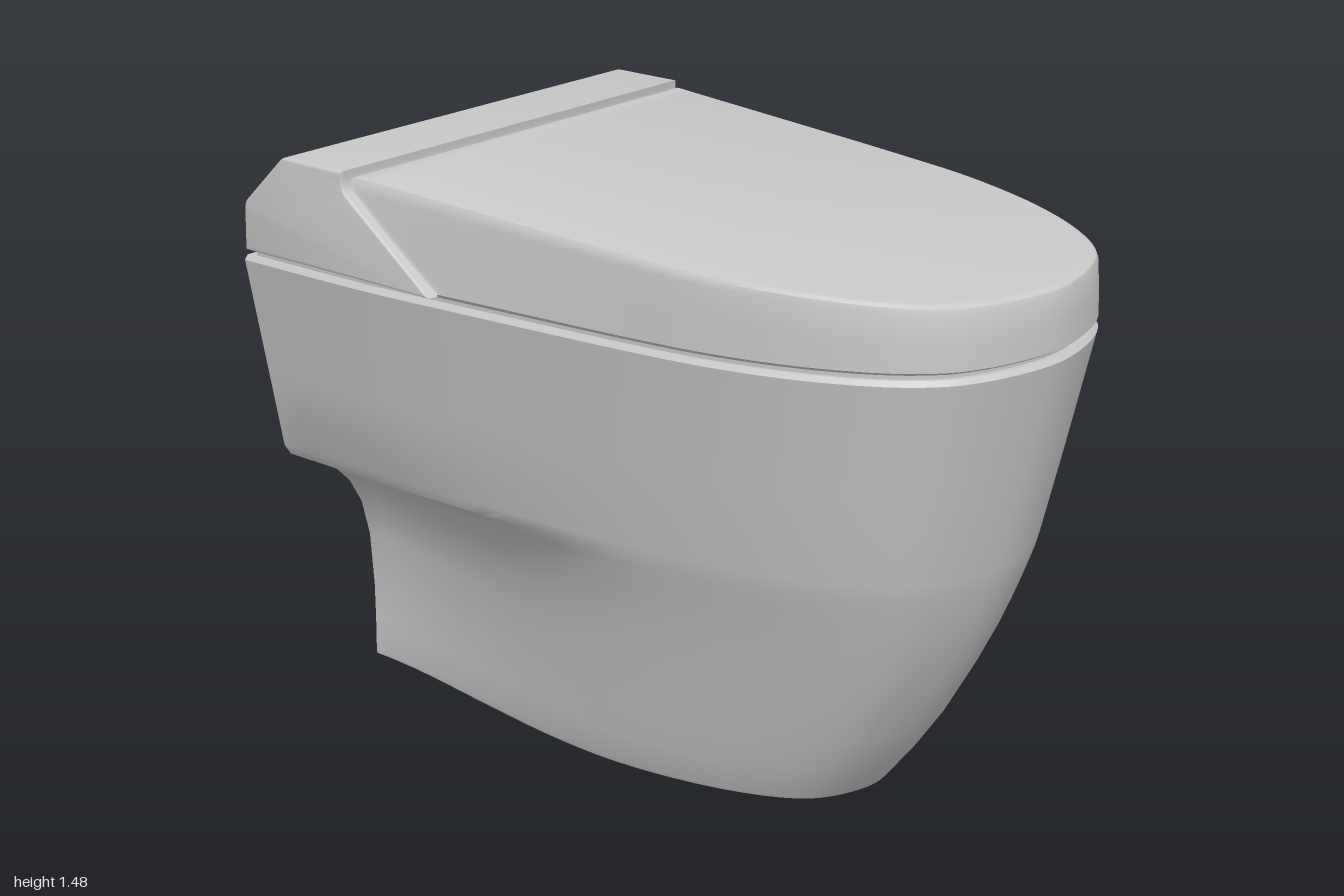
import * as THREE from 'three';
import { toCreasedNormals } from 'three/addons/utils/BufferGeometryUtils.js';

// Plan of the rim: half width and z, from the back wall to the front tip
const PLAN = [
  [0.625, -1], [0.622, -0.6], [0.602, -0.3], [0.578, 0], [0.558, 0.22], [0.53, 0.42],
  [0.475, 0.62], [0.395, 0.79], [0.305, 0.9], [0.21, 0.955], [0.1, 0.988], [0, 1],
];
const lerp = THREE.MathUtils.lerp;
const smooth = THREE.MathUtils.smoothstep;

// Smooth symmetric outline running from +x back, round the tip, to -x back
function outline(points, n = 84) {
  const half = points.map(([x, z]) => new THREE.Vector2(x, z));
  const other = half.slice(0, -1).reverse().map((p) => new THREE.Vector2(-p.x, p.y));
  return new THREE.SplineCurve([...half, ...other]).getPoints(n);
}

// Skin closed rings stacked upward and cap both ends with cross strips
function loft(rings, crease = 0.5) {
  const n = rings[0].length;
  const index = [];
  for (let j = 0; j < rings.length - 1; j++) {
    for (let i = 0; i < n; i++) {
      const a = j * n + i, b = j * n + ((i + 1) % n);
      index.push(a, a + n, b, b, a + n, b + n);
    }
  }
  const top = (rings.length - 1) * n;
  const mid = (n - 1) / 2;
  for (let i = 0; i < mid; i++) {
    const l = i, r = n - 1 - i;
    index.push(top + r, top + r - 1, top + l, r, l, r - 1);
    if (i < mid - 1) index.push(top + r - 1, top + l + 1, top + l, r - 1, l, l + 1);
  }
  const g = new THREE.BufferGeometry();
  g.setAttribute('position', new THREE.Float32BufferAttribute(rings.flat(2), 3));
  g.setIndex(index);
  return toCreasedNormals(g, crease);
}

// Pedestal and bowl: height, front z, back half width, middle half width
function bodyGeometry() {
  const levels = [
    [0, 0.51, 0.23, 0.36], [0.012, 0.52, 0.232, 0.366], [0.1, 0.59, 0.23, 0.388],
    [0.2, 0.66, 0.23, 0.41], [0.35, 0.745, 0.24, 0.445], [0.45, 0.795, 0.265, 0.47],
    [0.52, 0.825, 0.305, 0.49], [0.58, 0.848, 0.365, 0.51], [0.62, 0.862, 0.43, 0.523],
    [0.65, 0.872, 0.505, 0.533], [0.68, 0.88, 0.525, 0.54], [0.9, 0.932, 0.567, 0.575],
    [1.195, 0.998, 0.624, 0.625], [1.207, 0.988, 0.615, 0.615],
  ];
  const plan = outline(PLAN);
  return loft(levels.map(([y, front, back, middle]) => plan.map((p) => {
    const s = (p.y + 1) / 2;
    const w = lerp(back, middle, smooth(s, 0, 0.65)) / 0.625;
    return [p.x * w, y, lerp(-1, front, s)];
  })));
}

// Sloping lid with a slanted rear edge: height fraction, rear z, inset scale
function lidGeometry() {
  const plan = outline([[0.607, -0.345], ...PLAN.slice(2)]);
  const levels = [
    [0, -0.355, 0.988], [0.04, -0.35, 0.998], [0.45, -0.49, 0.996], [0.86, -0.625, 0.992],
    [0.94, -0.637, 0.987], [0.985, -0.63, 0.976], [1, -0.605, 0.962],
  ];
  return loft(levels.map(([v, rear, scale]) => plan.map((p) => {
    const k = THREE.MathUtils.clamp((0.3 - p.y) / 0.645, 0, 1);
    const z = p.y + (rear + 0.345) * k;
    const topY = 1.374 + (0.99 - z) * 0.0575;
    return [p.x * scale, lerp(1.22, topY, v), z > 0 ? z * scale : z];
  })));
}

// Rear housing: side profile extruded across the width
function housingGeometry() {
  const s = new THREE.Shape();
  s.moveTo(-0.362, 1.22);
  s.lineTo(-0.635, 1.42);
  s.quadraticCurveTo(-0.655, 1.435, -0.65, 1.478);
  s.lineTo(-0.845, 1.478);
  s.quadraticCurveTo(-0.86, 1.478, -0.872, 1.466);
  s.lineTo(-0.99, 1.352);
  s.quadraticCurveTo(-1, 1.343, -1, 1.325);
  s.lineTo(-1, 1.22);
  s.closePath();
  const g = new THREE.ExtrudeGeometry(s, {
    depth: 1.226, bevelEnabled: true, bevelSize: 0.01, bevelOffset: -0.01,
    bevelThickness: 0.01, bevelSegments: 3, curveSegments: 8,
  });
  g.translate(0, 0, -0.613);
  g.rotateY(-Math.PI / 2);
  // Lean the ends slightly inward toward the top
  const pos = g.attributes.position;
  for (let i = 0; i < pos.count; i++) {
    pos.setX(i, pos.getX(i) * (1 - (pos.getY(i) - 1.22) * 0.05));
  }
  return toCreasedNormals(g, 0.5);
}

export function createModel() {
  const model = new THREE.Group();
  const ceramic = new THREE.MeshStandardMaterial({ color: 0xc8c8c8 });
  ceramic.name = 'light grey ceramic';
  const add = (name, geometry) => {
    const mesh = new THREE.Mesh(geometry, ceramic);
    mesh.name = name;
    model.add(mesh);
    return mesh;
  };

  add('body', bodyGeometry());
  add('lid', lidGeometry());
  add('rearHousing', housingGeometry());

  // Recessed filler closing the seam between body and lid
  const plan = outline(PLAN);
  add('seam', loft([1.2, 1.225].map((y) => plan.map((p) => [p.x * 0.97, y, p.y * 0.975]))));

  // Small control keys low on the left side of the housing
  for (let i = 0; i < 3; i++) {
    const key = add('sideKey', new THREE.BoxGeometry(0.006, 0.014, 0.055));
    key.position.set(0.623, 1.231, -0.67 - i * 0.062);
  }
  return model;
}
